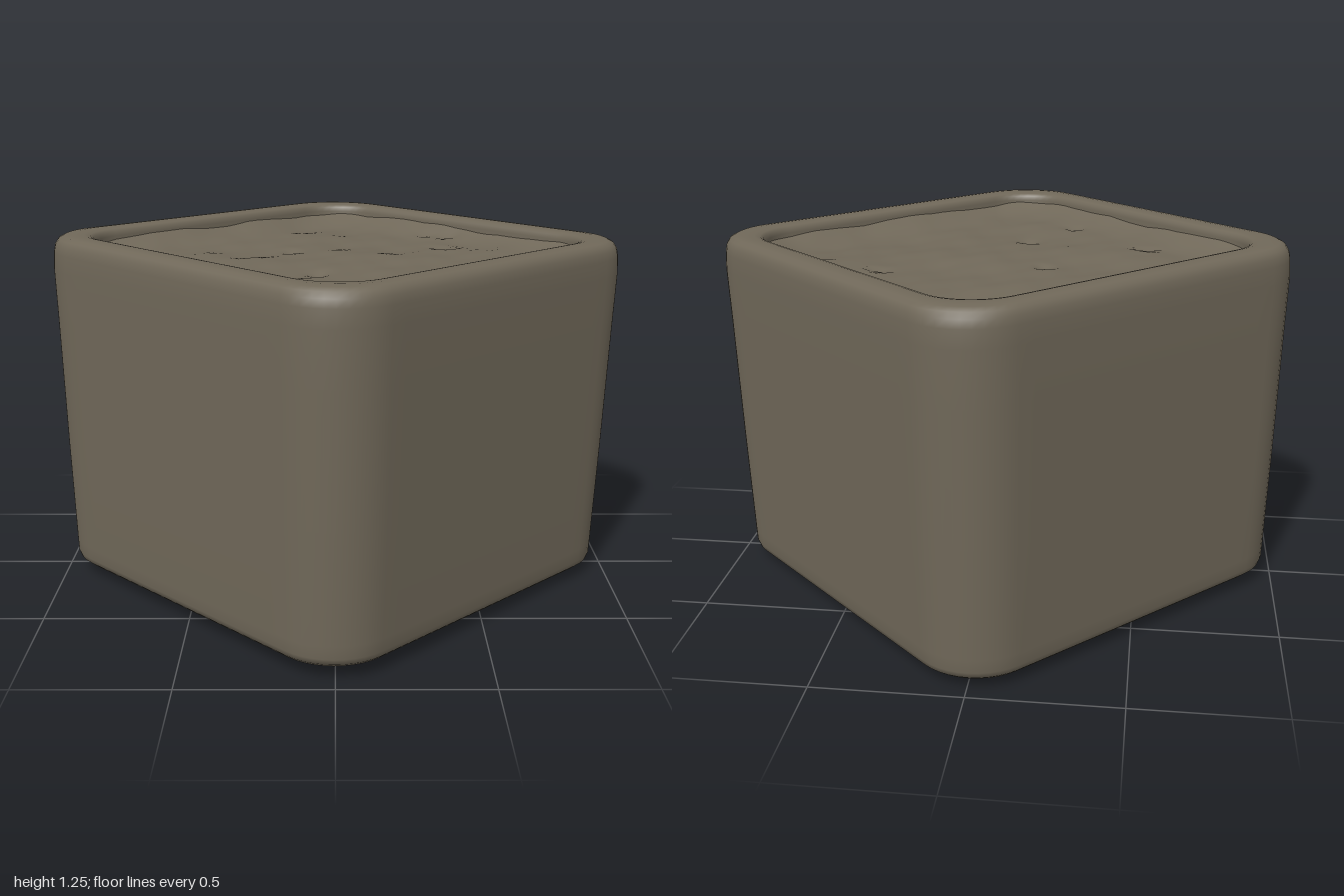
import * as THREE from 'three';

const ARC = 10, EDGE = 18;

// Rounded square with its corners on the x and z axes: half side h, corner radius r
function roundedSquare(h, r) {
  const points = [];
  const centre = (h - r) * Math.SQRT2;
  const arcPoint = (k, t) => {
    const axis = k * Math.PI / 2, a = axis + (t - 0.5) * Math.PI / 2;
    return new THREE.Vector2(Math.cos(axis) * centre + Math.cos(a) * r, Math.sin(axis) * centre + Math.sin(a) * r);
  };
  for (let k = 0; k < 4; k++) {
    for (let i = 0; i < ARC; i++) points.push(arcPoint(k, i / ARC));
    const from = arcPoint(k, 1), to = arcPoint(k + 1, 0);
    for (let i = 0; i < EDGE; i++) points.push(from.clone().lerp(to, i / EDGE));
  }
  return points;
}

// Joins rings of [half side, corner radius, y]; height(x, z) adds relief.
// The hand-made pot leans a little and its rim and foot are not quite level.
function loft(rings, height = () => 0) {
  const positions = [], index = [];
  const n = 4 * (ARC + EDGE);
  rings.forEach(([h, r, y], j) => {
    const lean = 0.008 * y - 0.006;
    roundedSquare(h, r).forEach((p, i) => {
      const rimTilt = -0.007 * p.x * y;
      const footTilt = (0.009 * p.y - 0.006 * p.x) * (1 - y / 1.25);
      positions.push(p.x + lean, y + rimTilt + footTilt + height(p.x, p.y), p.y);
      if (j === rings.length - 1) return;
      const a = j * n + i, b = j * n + (i + 1) % n;
      index.push(a, a + n, b, b, a + n, b + n);
    });
  });
  const geometry = new THREE.BufferGeometry();
  geometry.setAttribute('position', new THREE.Float32BufferAttribute(positions, 3));
  geometry.setIndex(index);
  geometry.computeVertexNormals();
  return geometry;
}

// Gentle lumps and a few small pits in the earth
const pits = [[-0.16, -0.12], [-0.5, 0.17], [0.36, -0.48], [0.43, -0.43], [-0.06, 0.3], [-0.22, 0.52], [0.4, -0.22]];
function soilRelief(x, z) {
  let y = 0.006 * Math.sin(7 * x + 3 * z + 1) * Math.cos(9 * z - 4 * x)
    + 0.004 * Math.sin(17 * x - 6 * z) * Math.sin(13 * z + 8 * x + 2)
    + 0.002 * Math.sin(31 * x + 11 * z) * Math.cos(27 * z - 9 * x);
  for (const [px, pz] of pits) y -= 0.018 * Math.exp(-((x - px) ** 2 + (z - pz) ** 2) / 0.0008);
  return y;
}

export function createModel() {
  const stone = new THREE.MeshStandardMaterial({ color: 0x706859 });
  stone.name = 'weathered stone';
  const model = new THREE.Group();
  model.name = 'squarePlanter';

  // Pot: underside, bevelled foot, tapering walls, broad flat rim and steep inner lip
  const pot = new THREE.Mesh(loft([
    [0.0005, 0.0002, 0.011], [0.3, 0.09, 0.011], [0.55, 0.16, 0.011], [0.65, 0.18, 0.013], [0.68, 0.19, 0.021],
    [0.715, 0.2, 0.038], [0.735, 0.21, 0.055], [0.742, 0.215, 0.075], [0.745, 0.22, 0.12], [0.757, 0.225, 0.5],
    [0.769, 0.23, 0.95], [0.774, 0.23, 1.13], [0.772, 0.23, 1.19], [0.768, 0.23, 1.217],
    [0.758, 0.225, 1.236], [0.742, 0.22, 1.246], [0.715, 0.21, 1.249], [0.685, 0.195, 1.248],
    [0.668, 0.187, 1.244], [0.659, 0.182, 1.236], [0.655, 0.18, 1.22], [0.653, 0.18, 1.15],
  ]), stone);
  pot.name = 'pot';

  // Soil: uneven, slightly dished fill, banked up softly along the lip
  const soilRings = [];
  for (let i = 0; i <= 32; i++) {
    const s = Math.max(1 - i / 32, 0.001);
    const bank = Math.max(0, (s - 0.76) / 0.24) ** 2;
    soilRings.push([0.656 * s, 0.18 * s, 1.17 + 0.04 * bank]);
  }
  const soil = new THREE.Mesh(loft(soilRings, soilRelief), stone);
  soil.name = 'soil';

  model.add(pot, soil);
  return model;
}
